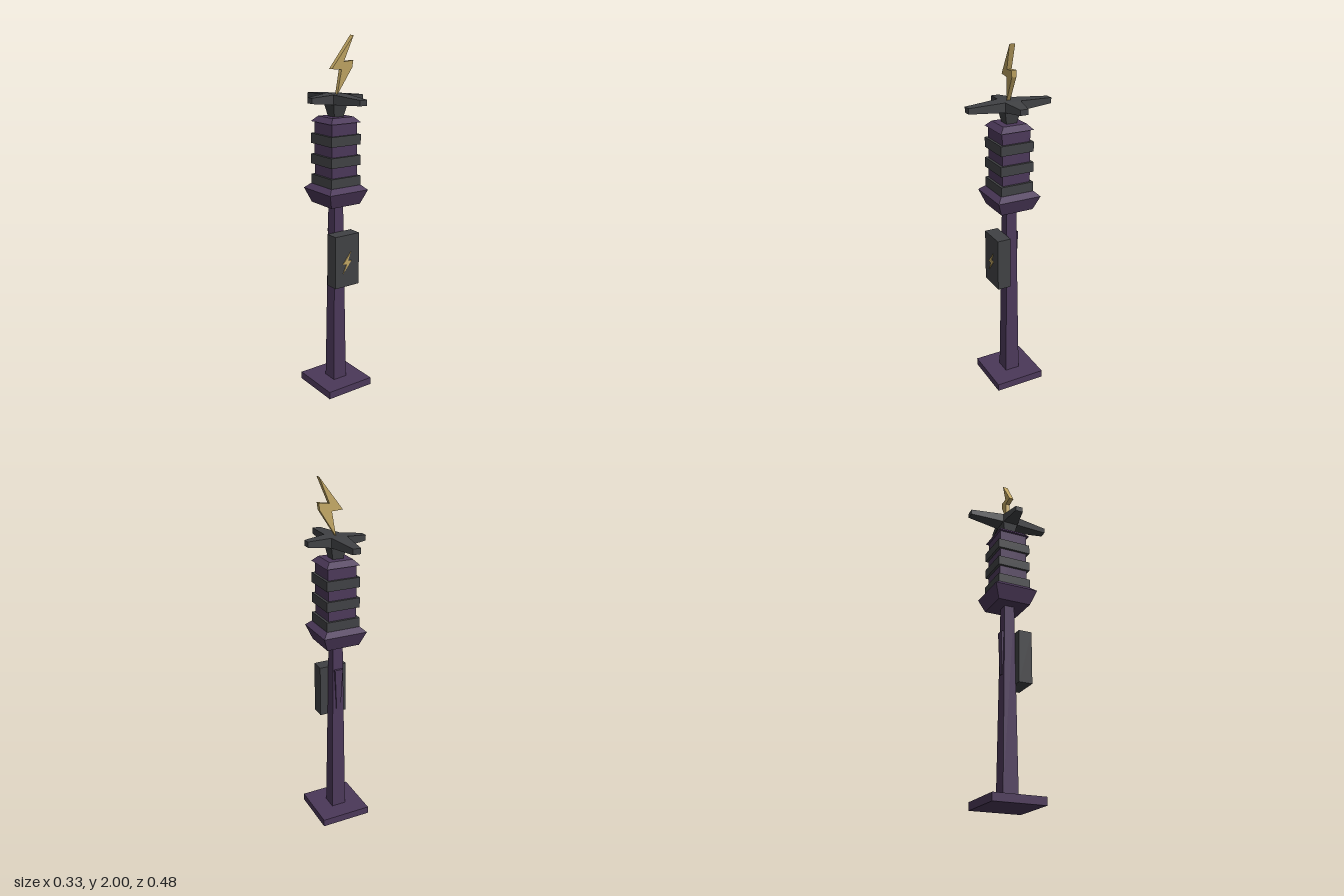
import * as THREE from 'three';

const mat = (name, color) => {
  const m = new THREE.MeshStandardMaterial({ color });
  m.name = name;
  return m;
};

export function createModel() {
  const root = new THREE.Group();
  root.name = 'lightningTower';
  const purple = mat('darkPurple', 0x4b3859);
  const gray = mat('charcoal', 0x404144);
  const gold = mat('dullGold', 0xc0a563);

  const add = (name, geo, material, parent = root) => {
    const mesh = new THREE.Mesh(geo, material);
    mesh.name = name;
    parent.add(mesh);
    return mesh;
  };

  // Box whose bottom and top have their own half sizes [x, z]
  const taper = (y0, y1, bottom, top) => {
    const g = new THREE.BoxGeometry(2, 1, 2);
    const p = g.attributes.position;
    for (let i = 0; i < p.count; i++) {
      const up = p.getY(i) > 0;
      const s = up ? top : bottom;
      p.setXYZ(i, p.getX(i) * s[0], up ? y1 : y0, p.getZ(i) * s[1]);
    }
    g.computeVertexNormals();
    return g;
  };
  const square = (y0, y1, a, b = a) => taper(y0, y1, [a, a], [b, b]);

  // Flat zigzag outline extruded along z, centred on z = 0
  const bolt = (points, depth) => {
    const shape = new THREE.Shape(points.map(([x, y]) => new THREE.Vector2(x, y)));
    return new THREE.ExtrudeGeometry(shape, { depth, bevelEnabled: false }).translate(0, 0, -depth / 2);
  };

  // Foot and pole
  add('foot', square(0, 0.043, 0.147), purple);
  add('pole', square(0.043, 1.11, 0.043, 0.029), purple);

  // Control box on the front, with its emblem
  add('controlBox', new THREE.BoxGeometry(0.16, 0.3, 0.078).translate(0, 0.795, 0.071), gray);
  const emblem = add('boxEmblem', bolt([
    [0.022, 0.845], [-0.032, 0.78], [-0.006, 0.777], [-0.03, 0.725], [0.026, 0.795], [0.002, 0.797],
  ], 0.006), gold);
  emblem.position.z = 0.111;

  // Shallow wedge on the back of the pole
  const wedge = taper(0.7, 0.95, [0.012, 0.004], [0.024, 0.009]);
  wedge.translate(0, 0, -0.036);
  add('backWedge', wedge, purple);

  // Tower head: flared collar, core, rings and cap
  add('collar', square(1.105, 1.185, 0.095, 0.126), purple);
  add('collarTop', square(1.185, 1.212, 0.126, 0.097), purple);
  add('core', square(1.21, 1.56, 0.082), purple);
  for (let i = 0; i < 3; i++) {
    const y = 1.21 + i * 0.1125;
    add('ring' + (i + 1), square(y, y + 0.054, 0.096), gray);
  }
  add('cap', square(1.553, 1.582, 0.096, 0.068), purple);
  add('neck', square(1.582, 1.65, 0.03, 0.045), gray);

  // Four-armed crown, longer from front to back
  const crown = new THREE.Group();
  crown.name = 'crown';
  crown.position.y = 1.674;
  root.add(crown);
  add('crownHub', new THREE.BoxGeometry(0.09, 0.052, 0.09), gray, crown);
  for (let i = 0; i < 4; i++) {
    const length = i % 2 ? 0.165 : 0.24;
    const arm = taper(0.045, length, [0.045, 0.026], [0.022, 0.015]);
    arm.rotateX(Math.PI / 2);
    add('crownArm' + (i + 1), arm, gray, crown).rotation.y = (i * Math.PI) / 2;
  }

  // Large bolt: leans forward, slightly turned, thicker towards the top
  const big = bolt([
    [0.085, 2.0], [-0.04, 1.83], [0.02, 1.825], [0.0, 1.695],
    [0.086, 1.835], [0.09, 1.872], [0.032, 1.865],
  ], 2);
  const p = big.attributes.position;
  for (let i = 0; i < p.count; i++) {
    const t = (p.getY(i) - 1.695) / 0.305;
    p.setZ(i, 0.004 + 0.017 * t + 0.06 * p.getX(i) + p.getZ(i) * (0.01 + 0.006 * t));
  }
  big.computeVertexNormals();
  add('bolt', big, gold);

  return root;
}
